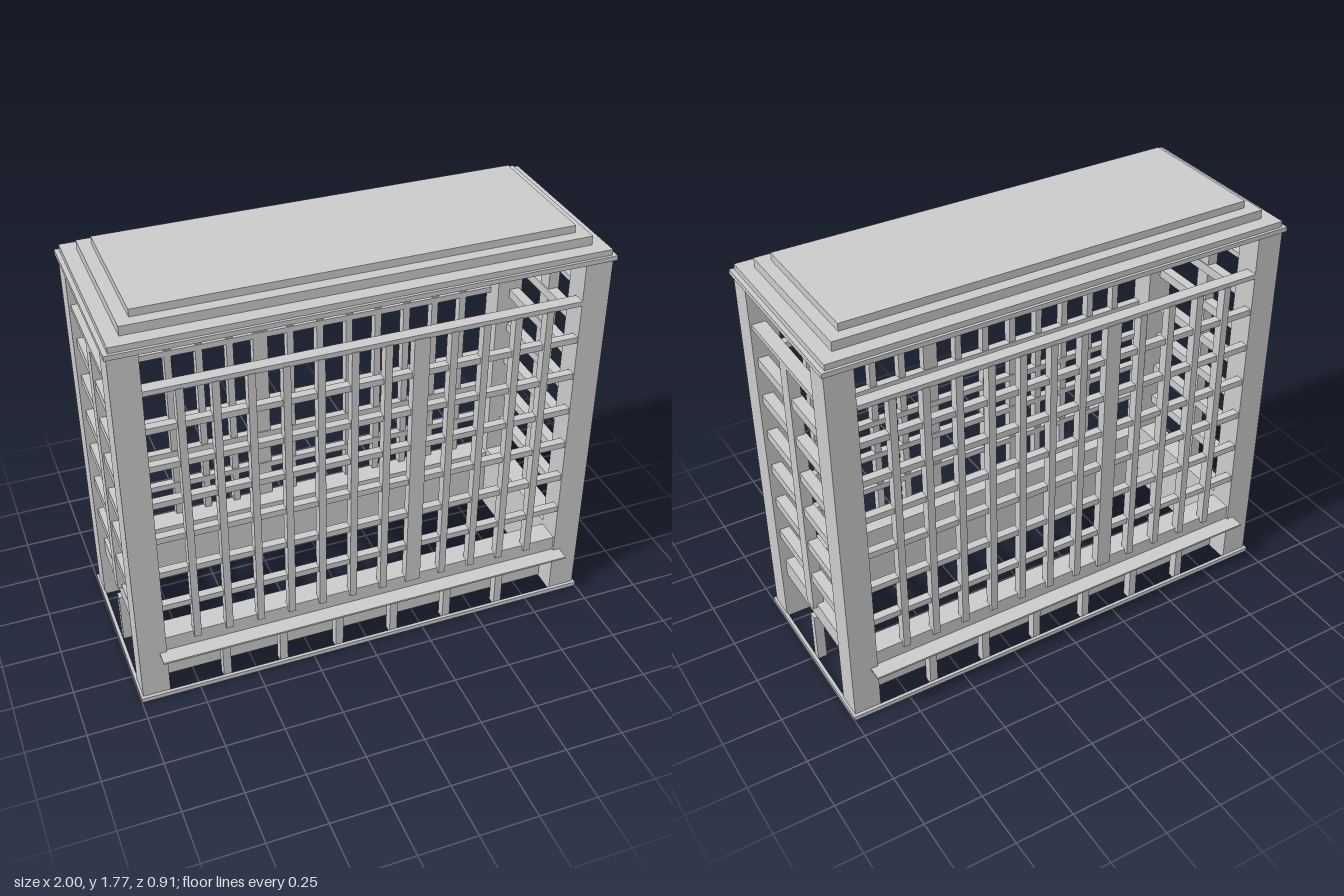
import * as THREE from 'three';

const material = new THREE.MeshStandardMaterial({ color: 0xcccccc, flatShading: true });

// Box given by its extents on each axis; openBottom drops the underside
function box(parent, name, [x0, x1], [y0, y1], [z0, z1], openBottom = false) {
  const geometry = new THREE.BoxGeometry(x1 - x0, y1 - y0, z1 - z0);
  if (openBottom) {
    const index = Array.from(geometry.index.array);
    index.splice(18, 6);
    geometry.setIndex(index);
    geometry.clearGroups();
  }
  const mesh = new THREE.Mesh(geometry, material);
  mesh.name = name;
  mesh.position.set((x0 + x1) / 2, (y0 + y1) / 2, (z0 + z1) / 2);
  parent.add(mesh);
  return mesh;
}

const around = (c, width) => [c - width / 2, c + width / 2];

// Long wall: recessed plinth, sill, shelf and window grid, facing +z
function longFacade() {
  const wall = new THREE.Group();
  const span = [-0.875, 0.875];
  box(wall, 'plinthPanel', span, [0.01, 0.23], [0.285, 0.295]);
  box(wall, 'sillBand', span, [0.23, 0.3], [0.285, 0.385]);
  box(wall, 'shelf', [-0.905, 0.905], [0.226, 0.234], [0.36, 0.455]);
  for (let i = 0; i < 6; i++) {
    box(wall, 'plinthPost', around(-0.626 + 0.249 * i, 0.034), [0, 0.23], [0.35, 0.39], true);
  }
  for (let i = 0; i < 12; i++) {
    const width = i === 7 ? 0.065 : 0.03;
    box(wall, i === 7 ? 'wideMullion' : 'mullion', around(-0.742 + 0.1345 * i, width),
      [0.28, 1.48], [0.36, 0.4]);
  }
  for (let i = 0; i < 6; i++) {
    box(wall, 'windowBar', span, around(0.463 + 0.1708 * i, 0.027), [0.355, 0.39]);
  }
  box(wall, 'topRail', span, [1.476, 1.497], [0.345, 0.397]);
  return wall;
}

// Short wall facing +x
function endFacade() {
  const wall = new THREE.Group();
  const span = [-0.285, 0.285];
  box(wall, 'endPanel', [0.875, 0.885], [0.01, 0.235], span);
  box(wall, 'endSill', [0.875, 0.965], [0.235, 0.319], span);
  box(wall, 'endPost', [0.94, 0.98], [0, 0.235], around(0, 0.034), true);
  box(wall, 'endMullion', [0.935, 0.982], [0.3, 1.48], around(0, 0.065));
  for (let i = 0; i < 6; i++) {
    box(wall, 'endBar', [0.93, 0.975], around(0.47 + 0.1708 * i, 0.04), span);
  }
  box(wall, 'endTopRail', [0.925, 0.982], [1.476, 1.497], span);
  return wall;
}

export function createModel() {
  const model = new THREE.Group();
  model.name = 'pavilion';

  // Thin frame on the ground
  for (const s of [-1, 1]) {
    box(model, 'baseRailLong', [-1, 1], [0, 0.02], around(s * 0.402, 0.014));
    box(model, 'baseRailShort', around(s * 0.993, 0.014), [0, 0.02], [-0.395, 0.395]);
  }

  // Corner pillars, hollow underneath
  for (const sx of [-1, 1]) {
    for (const sz of [-1, 1]) {
      box(model, 'cornerPillar', around(sx * 0.9325, 0.115), [0.005, 1.66],
        around(sz * 0.34, 0.11), true);
    }
  }

  // Opposite walls are half-turn copies
  for (const angle of [0, Math.PI]) {
    const long = longFacade();
    long.name = angle ? 'backWall' : 'frontWall';
    long.rotation.y = angle;
    const end = endFacade();
    end.name = angle ? 'rightWall' : 'leftWall';
    end.rotation.y = angle;
    model.add(long, end);
  }

  // Stepped roof: half width, half depth, bottom, top
  const tiers = [
    [1, 0.409, 1.66, 1.68],
    [0.982, 0.397, 1.68, 1.704],
    [0.925, 0.336, 1.704, 1.742],
    [0.875, 0.287, 1.742, 1.773],
  ];
  for (const [w, d, y0, y1] of tiers) box(model, 'roofTier', [-w, w], [y0, y1], [-d, d]);

  return model;
}
